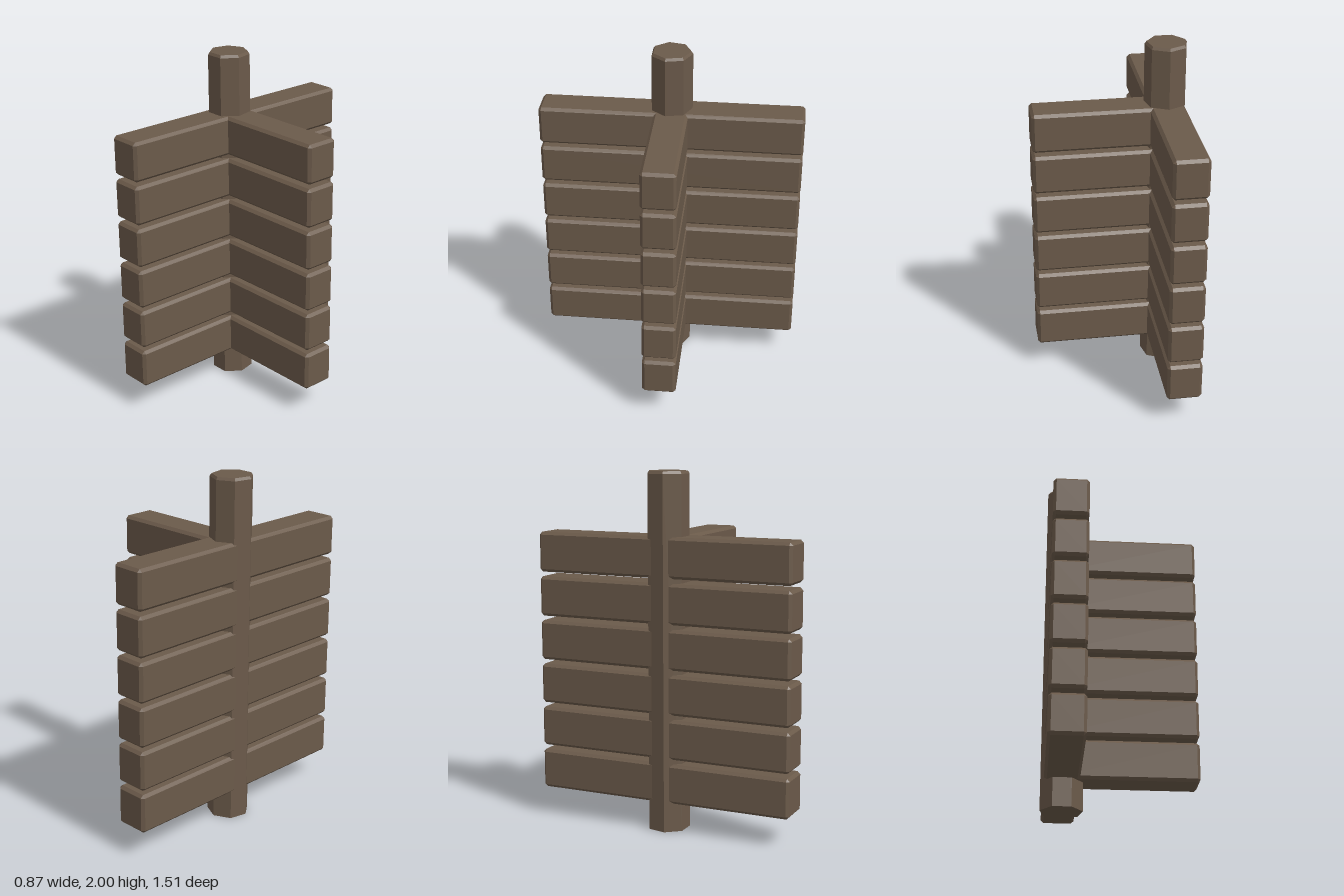
import * as THREE from 'three';
import { ConvexGeometry } from 'three/addons/geometries/ConvexGeometry.js';

// Box with every edge cut off at 45 degrees
function chamferedBox(w, h, d, c) {
  const points = [];
  for (const sx of [-1, 1]) for (const sy of [-1, 1]) for (const sz of [-1, 1]) {
    const x = w / 2, y = h / 2, z = d / 2;
    points.push(
      new THREE.Vector3(sx * x, sy * (y - c), sz * (z - c)),
      new THREE.Vector3(sx * (x - c), sy * y, sz * (z - c)),
      new THREE.Vector3(sx * (x - c), sy * (y - c), sz * z)
    );
  }
  return new ConvexGeometry(points);
}

export function createModel() {
  const model = new THREE.Group();
  const wood = new THREE.MeshStandardMaterial({ color: 0x6b5a4a, flatShading: true });
  wood.name = 'brown wood';

  const postX = -0.32, radius = 0.12, chamfer = 0.016;
  const beamHeight = 0.226, beamWidth = 0.197, spacing = 0.252, firstY = 0.276;

  function add(name, geometry, x, y, z) {
    const mesh = new THREE.Mesh(geometry, wood);
    mesh.name = name;
    mesh.position.set(x, y, z);
    model.add(mesh);
    return mesh;
  }

  // Seven-sided post with a bevelled top, one corner pointing back
  const profile = [[0, 0], [radius, 0], [radius, 1.985], [radius - 0.01, 2], [0, 2]]
    .map(([r, y]) => new THREE.Vector2(r, y));
  add('post', new THREE.LatheGeometry(profile, 7), postX, 0, 0).rotation.y = Math.PI;

  // Stacked beams: one runs front to back, one branches off to the left
  const longBeam = chamferedBox(beamWidth, beamHeight, 1.514, chamfer);
  const sideLength = 0.435 + 0.32;
  const sideBeam = chamferedBox(sideLength, beamHeight, beamWidth, chamfer);
  for (let i = 0; i < 6; i++) {
    const y = firstY + i * spacing;
    add('longBeam', longBeam, postX, y, -0.002);
    add('sideBeam', sideBeam, 0.435 - sideLength / 2, y, -0.002);
  }
  return model;
}
